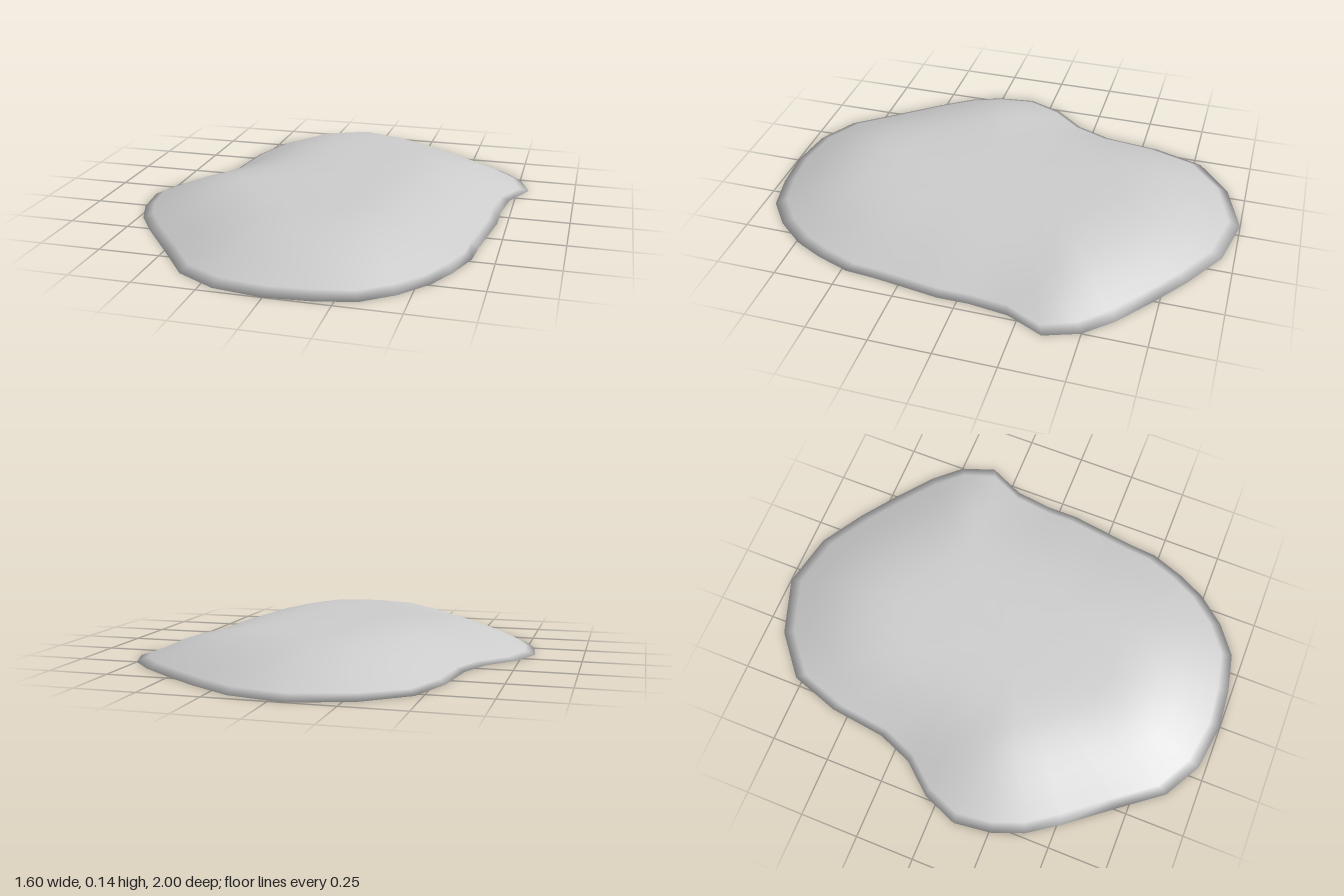
import * as THREE from 'three';

// Ground outline as [x, z], clockwise seen from above, starting at the back
const OUTLINE = [
  [-0.06, -1], [0.17, -0.95], [0.35, -0.84], [0.5, -0.73], [0.65, -0.61], [0.75, -0.5], [0.8, -0.36], [0.73, -0.21],
  [0.71, -0.05], [0.71, 0.08], [0.69, 0.22], [0.67, 0.36], [0.66, 0.48], [0.61, 0.62], [0.55, 0.74], [0.45, 0.86],
  [0.33, 0.95], [0.17, 0.985], [0, 1], [-0.2, 0.97], [-0.36, 0.88], [-0.49, 0.71], [-0.64, 0.52], [-0.73, 0.39],
  [-0.78, 0.26], [-0.8, 0.1], [-0.74, -0.05], [-0.63, -0.18], [-0.57, -0.33], [-0.54, -0.57], [-0.47, -0.78], [-0.3, -0.92],
].map(([x, z]) => new THREE.Vector2(x, z));

// Height of the slope as [distance in from the outline, y]
const SLOPE = [[0, 0], [0.04, 0.018], [0.12, 0.057], [0.22, 0.097], [0.3, 0.12], [0.39, 0.136], [0.47, 0.141], [2, 0.141]];

function edgeDistance(p) {
  return Math.min(...OUTLINE.map((a, i) => {
    const ab = OUTLINE[(i + 1) % OUTLINE.length].clone().sub(a);
    const t = THREE.MathUtils.clamp(p.clone().sub(a).dot(ab) / ab.lengthSq(), 0, 1);
    return p.distanceTo(a.clone().addScaledVector(ab, t));
  }));
}

function slopeHeight(d) {
  const k = Math.max(1, SLOPE.findIndex(([x]) => x >= d));
  const [d0, y0] = SLOPE[k - 1], [d1, y1] = SLOPE[k];
  return y0 + (y1 - y0) * (d - d0) / (d1 - d0);
}

export function createModel() {
  const group = new THREE.Group();
  const n = OUTLINE.length;
  const positions = [], index = [];

  // Rings from the middle of the underside, round the rim, to the middle of the top
  const rings = [[0.5, false], [0.94, false], [1, false],
    ...[0.95, 0.87, 0.78, 0.69, 0.59, 0.49, 0.36, 0.2].map((s) => [s, true])];
  for (const [s, top] of rings) {
    for (const o of OUTLINE) {
      const p = o.clone().multiplyScalar(s);
      positions.push(p.x, top ? slopeHeight(edgeDistance(p)) : 0, p.y);
    }
  }
  const bottom = rings.length * n;
  positions.push(0, 0, 0, 0, 0.141, 0);

  for (let i = 0; i < n; i++) {
    const j = (i + 1) % n;
    for (let r = 0; r < rings.length - 1; r++) {
      const a = r * n + i, b = r * n + j, c = a + n, d = b + n;
      index.push(a, c, b, b, c, d);
    }
    // Close the underside and the top
    const last = (rings.length - 1) * n;
    index.push(bottom, i, j, bottom + 1, last + j, last + i);
  }

  const geometry = new THREE.BufferGeometry();
  geometry.setAttribute('position', new THREE.Float32BufferAttribute(positions, 3));
  geometry.setIndex(index);
  geometry.computeVertexNormals();

  const slab = new THREE.Mesh(geometry, new THREE.MeshStandardMaterial({ color: 0xcccccc }));
  slab.name = 'flatStone';
  group.add(slab);
  return group;
}
